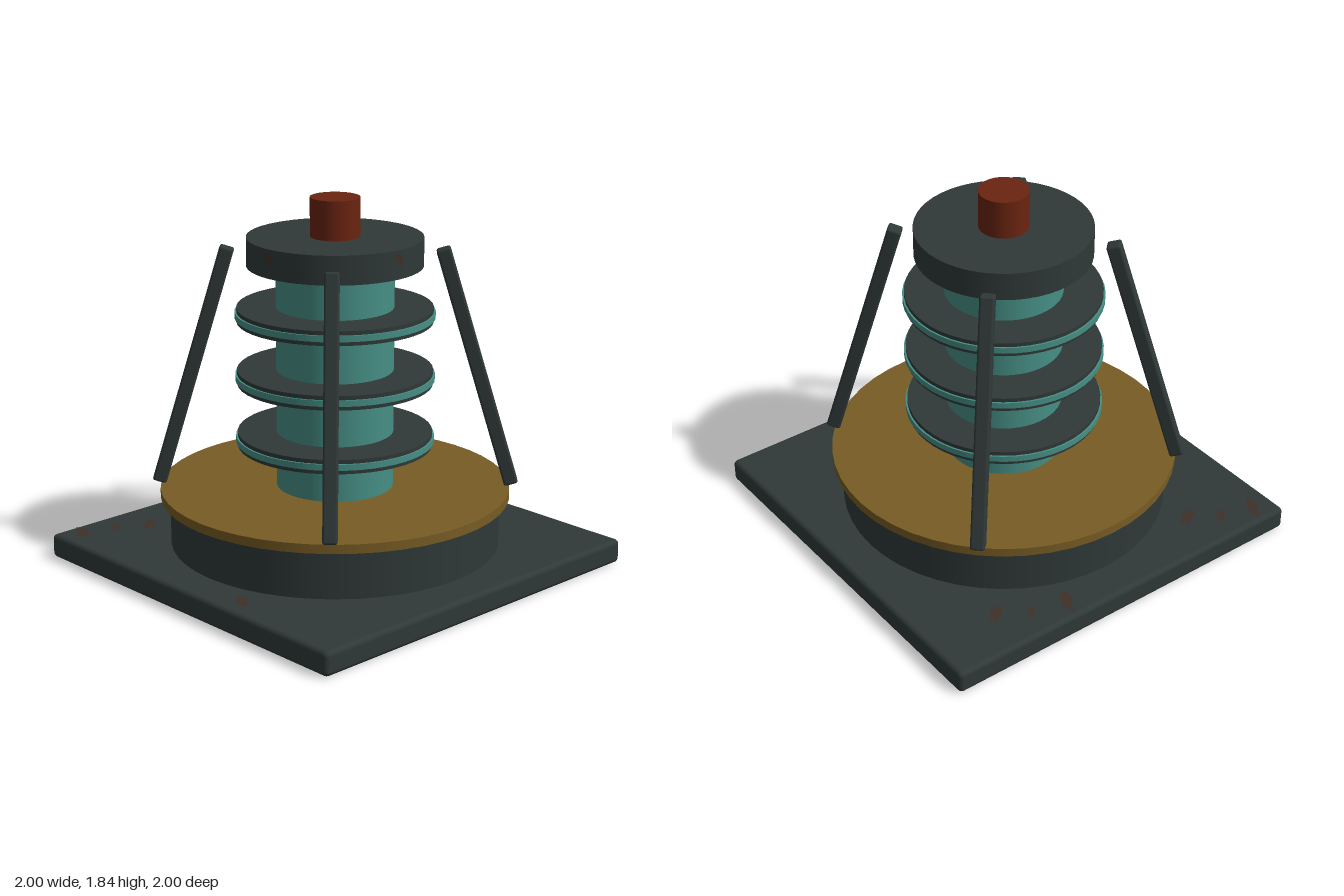
import * as THREE from 'three';
import { RoundedBoxGeometry } from 'three/addons/geometries/RoundedBoxGeometry.js';

const mat = (name, color, side = THREE.FrontSide) => {
  const m = new THREE.MeshStandardMaterial({ color, side });
  m.name = name;
  return m;
};

export function createModel() {
  const model = new THREE.Group();
  model.name = 'insulatorTower';
  const dark = mat('darkIron', 0x2f3938);
  const teal = mat('tealCeramic', 0x468f85);
  const brass = mat('agedBrass', 0x785c24);
  const red = mat('rustRed', 0x6b2410);
  const rust = mat('rustPatch', 0x3f3029, THREE.DoubleSide);

  const add = (name, geometry, material, y = 0, parent = model) => {
    const mesh = new THREE.Mesh(geometry, material);
    mesh.name = name;
    mesh.position.y = y;
    parent.add(mesh);
    return mesh;
  };
  // Upright cylinder between two heights
  const disc = (name, r, y0, y1, material) =>
    add(name, new THREE.CylinderGeometry(r, r, y1 - y0, 48), material, (y0 + y1) / 2);

  // Base and drum
  add('basePlate', new RoundedBoxGeometry(2, 0.12, 2, 3, 0.025), dark, 0.06);
  disc('drum', 0.81, 0.115, 0.365, dark);
  disc('brassPlate', 0.857, 0.36, 0.405, brass);

  // Column with three finned rings
  disc('column', 0.286, 0.4, 1.51, teal);
  for (const y of [0.645, 0.957, 1.267]) {
    disc('fin', 0.475, y - 0.035, y + 0.035, dark);
    disc('finBand', 0.484, y - 0.015, y + 0.015, teal);
  }

  // Cap and terminal
  disc('cap', 0.425, 1.505, 1.645, dark);
  disc('terminal', 0.12, 1.64, 1.835, red);

  // Four leaning struts on the diagonals
  const rise = 1.18, run = 0.35;
  for (let i = 0; i < 4; i++) {
    const arm = new THREE.Group();
    arm.name = 'strutArm';
    arm.rotation.y = Math.PI / 4 + i * Math.PI / 2;
    const strut = add('strut', new RoundedBoxGeometry(0.07, Math.hypot(rise, run), 0.07, 2, 0.012), dark, 1.0, arm);
    strut.position.x = 0.69;
    strut.rotation.z = Math.atan2(run, rise);
    model.add(arm);
  }

  // Ragged rust patch outline, unit sized
  const patch = () => {
    const s = new THREE.Shape();
    s.moveTo(-0.5, 0.3);
    s.lineTo(-0.1, 0.5);
    s.lineTo(0.3, 0.2);
    s.lineTo(0.5, -0.4);
    s.lineTo(0.1, -0.45);
    s.lineTo(-0.15, -0.05);
    s.closePath();
    return new THREE.ShapeGeometry(s);
  };

  // Flat patches on the base: x, z, width, depth
  const spots = [[-0.9, -0.3, 0.15, 0.08], [-0.77, -0.62, 0.1, 0.1], [-0.86, -0.48, 0.09, 0.05],
    [-0.77, 0.57, 0.1, 0.12], [-0.86, 0.71, 0.1, 0.06], [-0.91, 0.88, 0.16, 0.08], [0.31, 0.89, 0.13, 0.08]];
  for (const [x, z, w, d] of spots) {
    const p = add('baseRust', patch().scale(w, d, 1).rotateX(-Math.PI / 2), rust, 0.122);
    p.position.x = x;
    p.position.z = z;
  }

  // Patches wrapped round the drum and cap: radius, angle, height, width, tallness
  const wraps = [[0.813, -0.62, 0.33, 0.06, 0.07], [0.813, -0.39, 0.32, 0.06, 0.06],
    [0.428, 0, 1.6, 0.07, 0.07], [0.428, Math.PI / 2, 1.6, 0.07, 0.07]];
  for (const [r, a, y, w, h] of wraps) {
    const g = patch().scale(w, h, 1);
    const pos = g.attributes.position;
    for (let i = 0; i < pos.count; i++) {
      const t = a + pos.getX(i) / r;
      pos.setXYZ(i, r * Math.sin(t), pos.getY(i), r * Math.cos(t));
    }
    g.computeVertexNormals();
    add('wallRust', g, rust, y);
  }
  return model;
}
